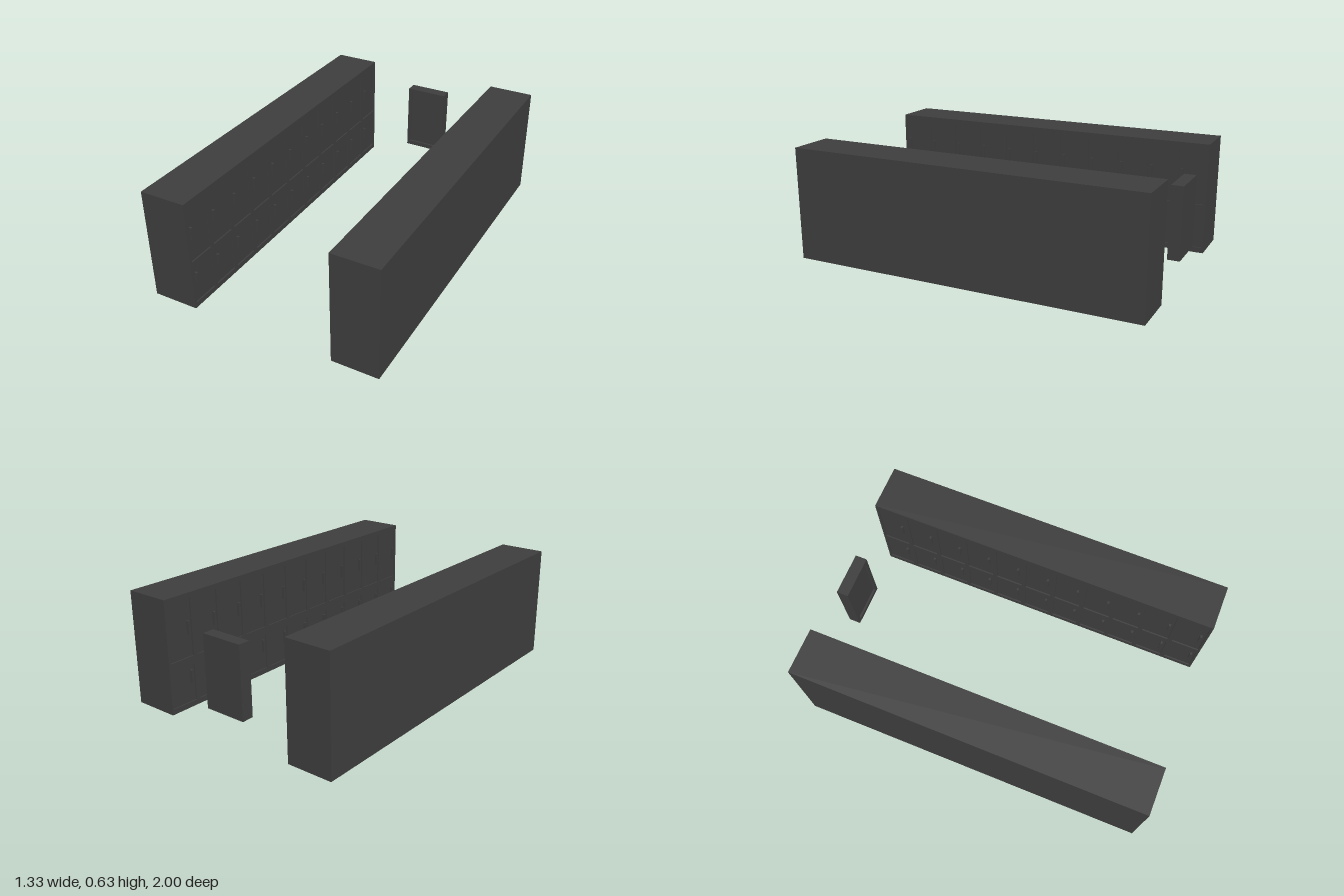
import * as THREE from 'three';

const darkMetal = new THREE.MeshStandardMaterial({ color: 0x3d3d3d });

function box(name, w, h, d, x, y, z) {
  const mesh = new THREE.Mesh(new THREE.BoxGeometry(w, h, d), darkMetal);
  mesh.name = name;
  mesh.position.set(x, y, z);
  return mesh;
}

function rectangle(target, x0, y0, x1, y1) {
  target.moveTo(x0, y0);
  target.lineTo(x1, y0);
  target.lineTo(x1, y1);
  target.lineTo(x0, y1);
  target.closePath();
  return target;
}

// Flat plate with rectangular openings, each [x0, y0, x1, y1]
function frame(name, outer, openings, depth, z) {
  const shape = rectangle(new THREE.Shape(), ...outer);
  for (const o of openings) shape.holes.push(rectangle(new THREE.Path(), ...o));
  const mesh = new THREE.Mesh(
    new THREE.ExtrudeGeometry(shape, { depth, bevelEnabled: false }), darkMetal);
  mesh.name = name;
  mesh.position.z = z;
  return mesh;
}

const COLUMNS = 11, LENGTH = 1.995, HEIGHT = 0.635, DEPTH = 0.26, RECESS = 0.008;
const PITCH = LENGTH / COLUMNS, DOOR_WIDTH = 0.155;
const ROWS = [
  { bottom: 0.03, top: 0.24, handle: 0.173 },
  { bottom: 0.285, top: 0.605, handle: 0.448 },
];

// Bank of lockers facing local +z; side is -1 for the -x bank, +1 for the +x bank
function lockerBank(name, side) {
  const bank = new THREE.Group();
  bank.name = name;
  const bodyDepth = DEPTH - RECESS;
  bank.add(box('lockerBody', LENGTH, HEIGHT, bodyDepth, 0, HEIGHT / 2, -RECESS - bodyDepth / 2));

  const openings = [];
  for (let i = 0; i < COLUMNS; i++) {
    const u = (i - (COLUMNS - 1) / 2) * PITCH;
    for (const row of ROWS) {
      openings.push([u - DOOR_WIDTH / 2, row.bottom, u + DOOR_WIDTH / 2, row.top]);
      bank.add(box('doorHandle', 0.012, 0.074, 0.015, u + side * 0.055, row.handle, -0.0005));
    }
  }
  bank.add(frame('doorFrame', [-LENGTH / 2, 0, LENGTH / 2, HEIGHT], openings, RECESS, -RECESS));

  bank.rotation.y = -side * Math.PI / 2;
  bank.position.set(side * 0.404, 0, 0.0025);
  return bank;
}

// Framed panel at the far end, with a recessed face
function wallPanel() {
  const panel = new THREE.Group();
  panel.name = 'wallPanel';
  panel.add(box('panelBack', 0.244, 0.4, 0.055, 0, 0.33, -0.9725));
  panel.add(frame('panelFrame', [-0.122, 0.13, 0.122, 0.53],
    [[-0.102, 0.157, 0.102, 0.506]], 0.012, -0.945));
  return panel;
}

export function createModel() {
  const model = new THREE.Group();
  model.name = 'lockerCorridor';
  model.add(lockerBank('rightLockers', -1), lockerBank('leftLockers', 1), wallPanel());
  return model;
}
